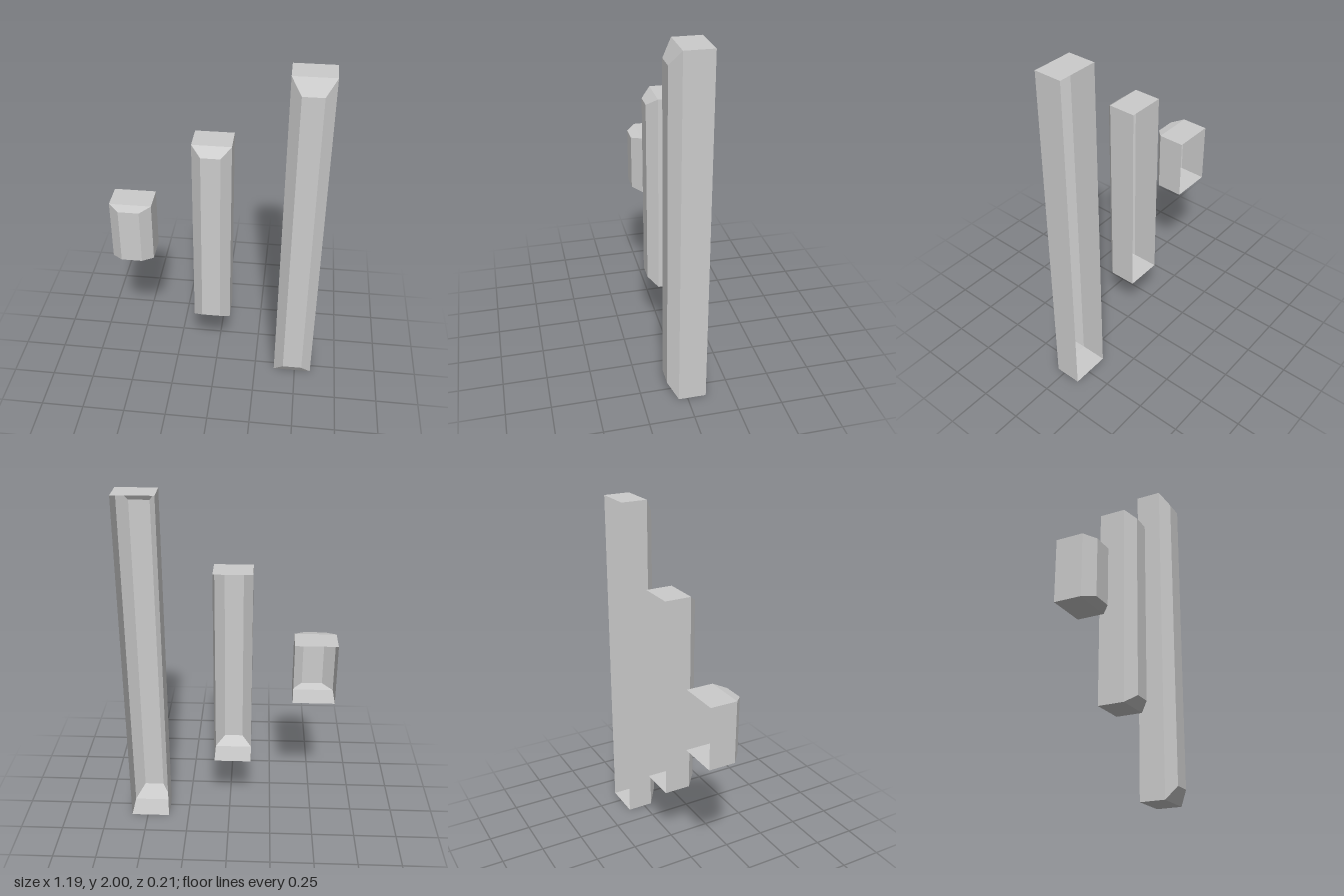
import * as THREE from 'three';

const BACK = -0.105, SHOULDER = 0.05, FRONT = 0.105;

// Corners of an upright rectangle, counter-clockwise seen from the front
const ring = ([x0, x1, y0, y1], z) => [[x0, y0, z], [x1, y0, z], [x1, y1, z], [x0, y1, z]];

// Hollow bar with an open back: straight walls, bevelled shoulder, flat front
function barGeometry(outer, inner) {
  const rings = [ring(outer, BACK), ring(outer, SHOULDER), ring(inner, FRONT)];
  const points = [];
  const quad = (a, b, c, d) => points.push(...a, ...b, ...c, ...a, ...c, ...d);
  for (let r = 0; r < 2; r++) {
    for (let i = 0; i < 4; i++) {
      const j = (i + 1) % 4;
      quad(rings[r][i], rings[r][j], rings[r + 1][j], rings[r + 1][i]);
    }
  }
  quad(...rings[2]);
  const geometry = new THREE.BufferGeometry();
  geometry.setAttribute('position', new THREE.Float32BufferAttribute(points, 3));
  geometry.computeVertexNormals();
  return geometry;
}

export function createModel() {
  const group = new THREE.Group();
  group.name = 'threeBevelledBars';
  const material = new THREE.MeshStandardMaterial({
    color: 0xcccccc, flatShading: true, side: THREE.DoubleSide,
  });

  // Each bar: outer and front-face rectangles as [x0, x1, y0, y1]
  const bars = [
    { name: 'shortBar', outer: [-0.597, -0.36, 0.822, 1.18], inner: [-0.537, -0.419, 0.836, 1.166] },
    { name: 'middleBar', outer: [-0.128, 0.086, 0.415, 1.587], inner: [-0.074, 0.032, 0.46, 1.542] },
    { name: 'tallBar', outer: [0.37, 0.597, 0, 2], inner: [0.426, 0.54, 0.081, 1.919] },
  ];
  for (const { name, outer, inner } of bars) {
    const mesh = new THREE.Mesh(barGeometry(outer, inner), material);
    mesh.name = name;
    group.add(mesh);
  }
  return group;
}
